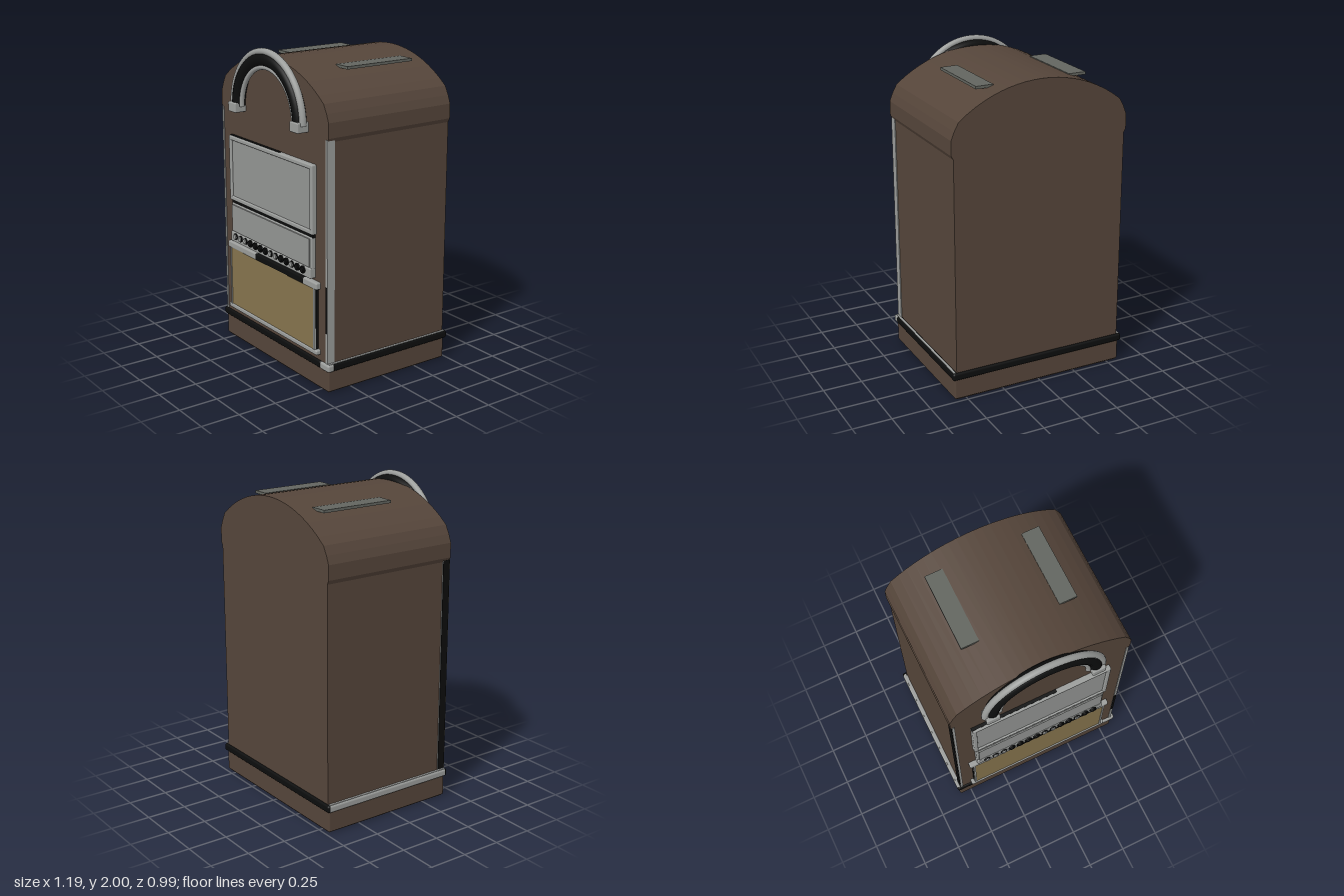
import * as THREE from 'three';
import { RoundedBoxGeometry } from 'three/addons/geometries/RoundedBoxGeometry.js';

export function createModel() {
  const model = new THREE.Group();
  model.name = 'jukebox';

  const material = (name, color, side = THREE.FrontSide) => {
    const m = new THREE.MeshStandardMaterial({ color, side });
    m.name = name;
    return m;
  };
  const brown = material('brown wood', 0x55453a);
  const silver = material('silver trim', 0x9b9d9b);
  const grey = material('grey panel', 0x939593);
  const black = material('black trim', 0x0c0d0d);
  const ochre = material('ochre cloth', 0x86744d);
  const slate = material('slate vent', 0x62655f);

  const add = (name, geometry, mat, x = 0, y = 0, z = 0) => {
    const mesh = new THREE.Mesh(geometry, mat);
    mesh.name = name;
    mesh.position.set(x, y, z);
    model.add(mesh);
    return mesh;
  };
  // Box given by its limits, with optional rounded edges
  const block = (name, mat, [x0, x1], [y0, y1], [z0, z1], round = 0) => {
    const size = [x1 - x0, y1 - y0, z1 - z0];
    const geo = round ? new RoundedBoxGeometry(...size, 2, round) : new THREE.BoxGeometry(...size);
    return add(name, geo, mat, (x0 + x1) / 2, (y0 + y1) / 2, (z0 + z1) / 2);
  };

  // Cabinet: straight walls, a slightly wider head and a shallow arched roof
  const right = [[0.565, 0.16], [0.565, 1.54], [0.578, 1.565], [0.578, 1.655], [0.558, 1.705]];
  const roof = [];
  const R = 0.84, roofTop = 1.945;
  for (let i = 0; i <= 20; i++) {
    const x = 0.53 - (1.06 * i) / 20;
    roof.push([x, roofTop - R + Math.sqrt(R * R - x * x)]);
  }
  const left = right.map(([x, y]) => [-x, y]).reverse();
  const outline = new THREE.Shape([...right, ...roof, ...left].map(p => new THREE.Vector2(...p)));
  add('cabinet', new THREE.ExtrudeGeometry(outline, { depth: 0.9, bevelEnabled: false }), brown, 0, 0, -0.48);

  // Plinth and the moulding around it
  block('plinth', brown, [-0.578, 0.578], [0.005, 0.16], [-0.48, 0.42], 0.01);
  block('plinthFoot', brown, [-0.565, 0.565], [0, 0.02], [-0.47, 0.41]);
  const band = [0.138, 0.186];
  block('frontMoulding', black, [-0.593, 0.51], band, [0.39, 0.432], 0.014);
  block('backMoulding', black, [-0.593, 0.593], band, [-0.495, -0.455], 0.014);
  block('rightSideMoulding', silver, [-0.594, -0.555], band, [-0.49, 0.425], 0.014);
  block('leftSideMoulding', black, [0.555, 0.593], band, [-0.495, 0.4], 0.014);
  block('mouldingCorner', silver, [0.5, 0.595], band, [0.385, 0.434], 0.014);
  for (const s of [-1, 1])
    block('mouldingTopEdge', silver, [s * 0.578 - 0.007, s * 0.578 + 0.007], [0.18, 0.188], [-0.48, 0.42]);

  // Corner strips on the front edges
  for (const s of [-1, 1])
    block('cornerStrip', silver, [s * 0.562 - 0.008, s * 0.562 + 0.008], [0.187, 1.555], [0.37, 0.424]);
  block('cornerStripShadeRight', black, [-0.573, -0.569], [0.19, 1.55], [0.371, 0.42]);
  block('cornerStripInset', black, [0.554, 0.569], [0.38, 0.67], [0.421, 0.426]);

  // Raised frame with a recessed pane
  const frame = (name, x, y0, y1, z, border, mat) => {
    block(name + 'Top', mat, [-x, x], [y1 - border, y1], [0.41, z], 0.008);
    block(name + 'Bottom', mat, [-x, x], [y0, y0 + border], [0.41, z], 0.008);
    for (const s of [-1, 1]) {
      const c = s * (x - border / 2);
      block(name + 'Side', mat, [c - border / 2, c + border / 2], [y0, y1], [0.41, z], 0.008);
    }
  };

  // Title panel
  frame('displayFrame', 0.457, 0.968, 1.39, 0.452, 0.028, silver);
  block('displayPane', grey, [-0.435, 0.435], [0.985, 1.37], [0.41, 0.442]);
  block('displayTopLine', black, [-0.457, 0.1], [1.386, 1.392], [0.415, 0.44]);
  block('displayGap', black, [-0.448, 0.448], [0.945, 0.969], [0.41, 0.44]);

  // Selector panel with its ledge and a row of buttons
  block('selectorFrame', silver, [-0.445, 0.445], [0.75, 0.95], [0.41, 0.447], 0.008);
  block('selectorPane', grey, [-0.43, 0.43], [0.765, 0.94], [0.44, 0.455]);
  block('buttonLedge', silver, [-0.445, 0.445], [0.695, 0.76], [0.41, 0.459], 0.008);
  const darkButtons = [3, 4, 5, 6, 9, 10, 12, 13];
  for (let i = 0; i < 14; i++) {
    const x = -0.38 + i * 0.058;
    const dark = darkButtons.includes(i);
    const rim = add('buttonRim', new THREE.CylinderGeometry(0.023, 0.023, 0.014, 14), black, x, 0.737, 0.461);
    const cap = add('buttonCap', new THREE.CylinderGeometry(0.016, 0.019, 0.012, 14), dark ? black : silver, x, 0.737, 0.467);
    rim.rotation.x = cap.rotation.x = Math.PI / 2;
    if (!dark) rim.scale.set(0.88, 1, 0.88);
  }

  // Speaker grille between two rails
  block('grilleCloth', ochre, [-0.462, 0.462], [0.245, 0.645], [0.41, 0.446]);
  for (const s of [-1, 1]) {
    const c = s * 0.466;
    block('grilleSide', silver, [c - 0.006, c + 0.006], [0.245, 0.645], [0.41, 0.45]);
    block('grilleSideInset', black, [s * 0.472 - 0.002, s * 0.472 + 0.002], [0.25, 0.64], [0.415, 0.438]);
  }
  block('upperRailRight', silver, [-0.497, -0.16], [0.638, 0.682], [0.41, 0.452], 0.01);
  block('upperRailMiddle', black, [-0.17, 0.365], [0.638, 0.682], [0.41, 0.452], 0.01);
  block('upperRailLeft', silver, [0.355, 0.497], [0.638, 0.682], [0.41, 0.452], 0.01);
  block('lowerRail', silver, [-0.497, 0.497], [0.222, 0.254], [0.41, 0.452], 0.01);

  // Arched ornament: a black tube between two silver ones, on square feet
  const arch = (name, radius, tube, z, mat) =>
    add(name, new THREE.TorusGeometry(radius, tube, 14, 48, Math.PI), mat, 0, 1.605, z);
  arch('archOuterTube', 0.376, 0.021, 0.455, silver);
  arch('archCoreTube', 0.33, 0.043, 0.446, black);
  arch('archInnerTube', 0.283, 0.016, 0.455, silver);
  for (const s of [-1, 1])
    block('archFoot', silver, [s * 0.338 - 0.043, s * 0.338 + 0.043], [1.565, 1.627], [0.41, 0.497], 0.008);

  // Flat vents on the roof
  for (const s of [-1, 1])
    block('roofVent', slate, [s * 0.305 - 0.056, s * 0.305 + 0.056], [1.895, 1.912], [-0.355, 0.13]);

  return model;
}
